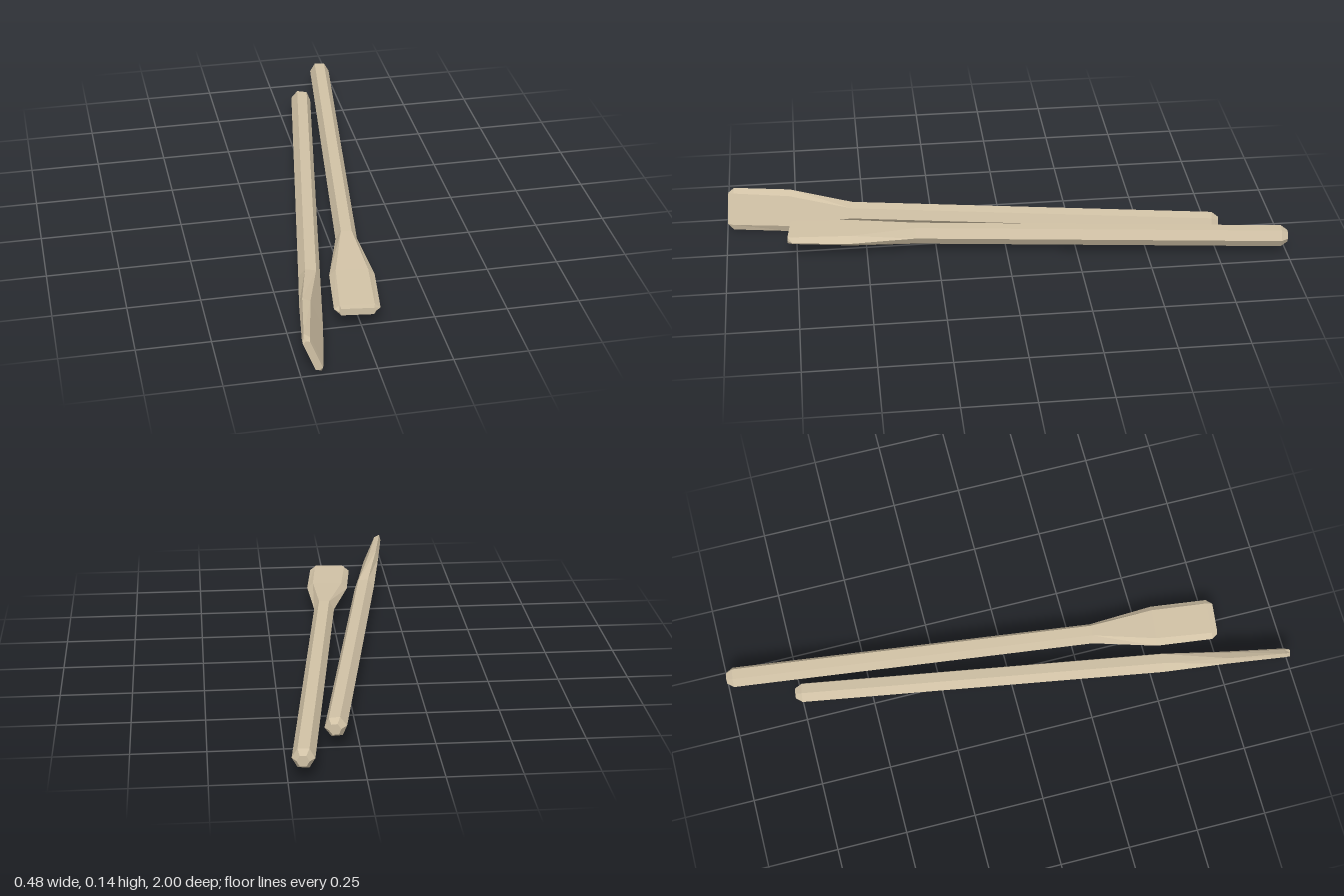
import * as THREE from 'three';

const material = new THREE.MeshStandardMaterial({ color: 0xd0c1a5, flatShading: true });

// Stations along the oar: [distance, half width, half width of flat, half thickness]
const STATIONS = [
  [0, 0.021, 0.0105, 0.018],
  [0.024, 0.0375, 0.0188, 0.0325],
  [1.33, 0.0375, 0.0188, 0.0325],
  [1.56, 0.077, 0.055, 0.02],
  [1.765, 0.077, 0.058, 0.014],
  [1.785, 0.06, 0.054, 0.0125],
];

// Lofts hexagonal cross-sections over the given stations, closing the chosen ends
function loft(stations, capStart, capEnd) {
  const positions = [];
  const index = [];
  for (const [z, w, f, t] of stations) {
    positions.push(w, 0, z, f, t, z, -f, t, z, -w, 0, z, -f, -t, z, f, -t, z);
  }
  const last = (stations.length - 1) * 6;
  for (let r = 0; r < last; r += 6) {
    for (let i = 0; i < 6; i++) {
      const a = r + i;
      const b = r + ((i + 1) % 6);
      index.push(a, b, b + 6, a, b + 6, a + 6);
    }
  }
  for (let i = 1; i < 5; i++) {
    if (capStart) index.push(0, i + 1, i);
    if (capEnd) index.push(last, last + i, last + i + 1);
  }
  const indexed = new THREE.BufferGeometry();
  indexed.setAttribute('position', new THREE.Float32BufferAttribute(positions, 3));
  indexed.setIndex(index);
  const geometry = indexed.toNonIndexed();
  geometry.computeVertexNormals();
  return geometry;
}

// One oar from its handle end to its blade tip, rolled about its own axis
function createOar(name, handleEnd, bladeTip, roll) {
  const oar = new THREE.Group();
  oar.name = name;
  const shaft = new THREE.Mesh(loft(STATIONS.slice(0, 3), true, false), material);
  shaft.name = 'shaft';
  const blade = new THREE.Mesh(loft(STATIONS.slice(2), false, true), material);
  blade.name = 'blade';
  oar.add(shaft, blade);
  const direction = bladeTip.clone().sub(handleEnd);
  oar.position.copy(handleEnd);
  oar.rotation.set(0, Math.atan2(direction.x, direction.z), roll);
  return oar;
}

export function createModel() {
  const model = new THREE.Group();
  model.name = 'pairOfOars';
  const y = 0.074;
  model.add(
    // Oar lying flat
    createOar('flatOar', new THREE.Vector3(0.202, y, -0.997), new THREE.Vector3(-0.018, y, 0.775), 0),
    // Oar turned on its edge
    createOar('tiltedOar', new THREE.Vector3(0.083, y, -0.768), new THREE.Vector3(-0.21, y, 0.993),
      THREE.MathUtils.degToRad(112)),
  );
  return model;
}
